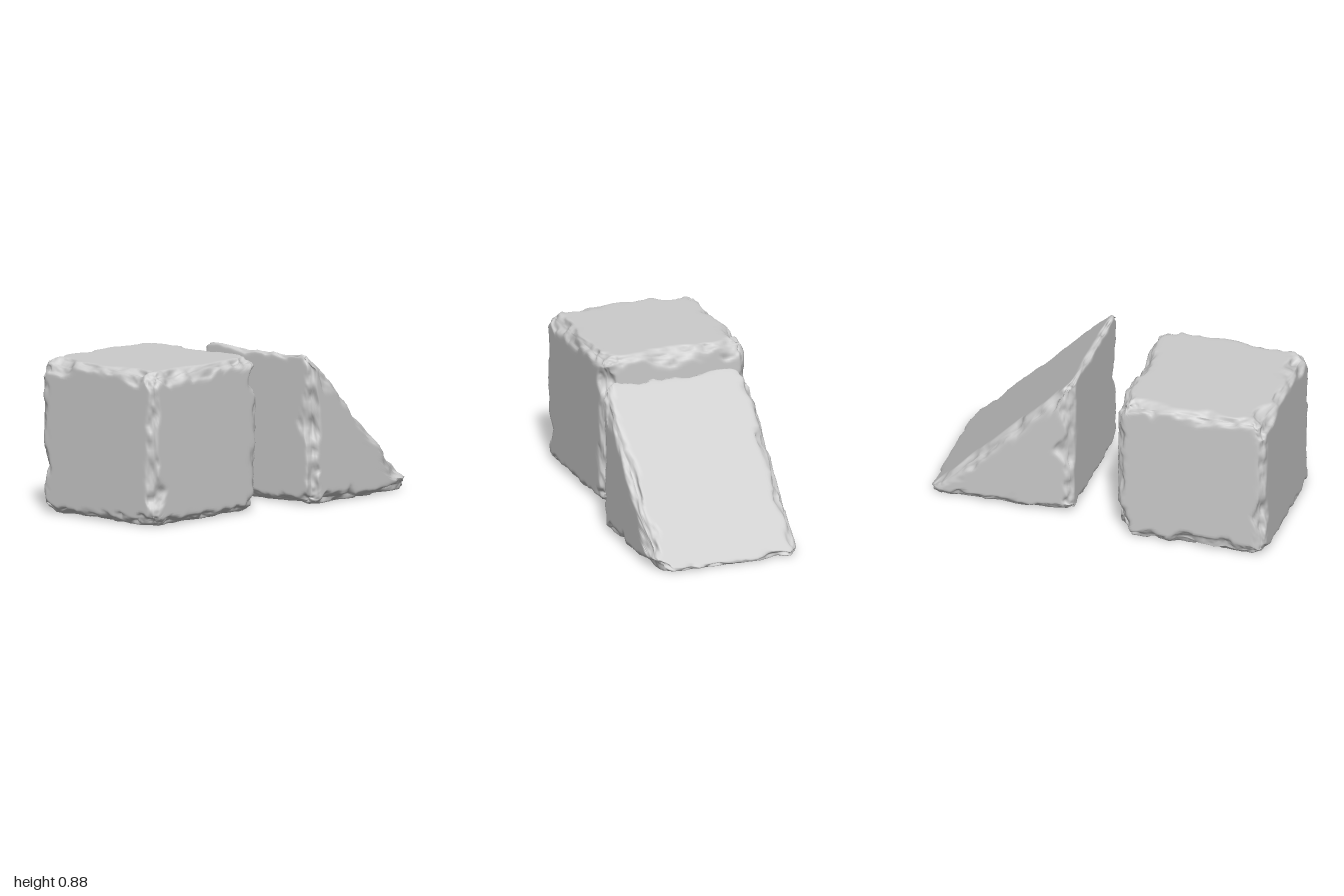
import * as THREE from 'three';

// Seeded value noise in 0..1
function hash(x, y, z) {
  let h = Math.imul(x, 374761393) ^ Math.imul(y, 668265263) ^ Math.imul(z, 1274126177);
  h = Math.imul(h ^ (h >>> 13), 1103515245);
  return ((h ^ (h >>> 16)) >>> 0) / 4294967296;
}
function noise(p, freq, seed) {
  const q = [p.x * freq + seed * 17.3, p.y * freq + seed * 5.1, p.z * freq + seed * 9.7];
  const i = q.map(Math.floor);
  const f = q.map((v, k) => { const t = v - i[k]; return t * t * (3 - 2 * t); });
  let sum = 0;
  for (let c = 0; c < 8; c++) {
    const o = [c & 1, (c >> 1) & 1, c >> 2];
    const w = o.reduce((a, b, k) => a * (b ? f[k] : 1 - f[k]), 1);
    sum += w * hash(i[0] + o[0], i[1] + o[1], i[2] + o[2]);
  }
  return sum;
}

// Cutting planes that bevel every edge and corner of a prism
function makeCuts(profile, zMin, zMax) {
  const sides = profile.map((a, i) => {
    const b = profile[(i + 1) % profile.length];
    const n = new THREE.Vector3(b.y - a.y, a.x - b.x, 0).normalize();
    return { n, d: n.x * a.x + n.y * a.y };
  });
  const caps = [
    { n: new THREE.Vector3(0, 0, 1), d: zMax },
    { n: new THREE.Vector3(0, 0, -1), d: -zMin },
  ];
  const cuts = [];
  const add = (...planes) => {
    const n = planes.reduce((s, p) => s.add(p.n), new THREE.Vector3());
    const d = planes.reduce((s, p) => s + p.d, 0);
    cuts.push({ n, d, len2: n.lengthSq(), corner: planes.length === 3,
      scale: Math.sqrt(n.lengthSq() / planes.length), seed: cuts.length + 1 });
  };
  sides.forEach((s, i) => {
    const next = sides[(i + 1) % sides.length];
    add(s, next);
    caps.forEach((c) => { add(s, c); add(s, next, c); });
  });
  return cuts;
}

// Push a surface point behind the ragged cutting planes
function chip(p, cuts, seed) {
  const soft = 0.012;
  const start = p.clone();
  for (const cut of cuts) {
    if (cut.d - cut.n.dot(p) > 0.45) continue;
    const s = seed + cut.seed;
    const broad = Math.max(0, noise(start, 7, s) - 0.5);
    const fine = noise(start, 19, s + 3);
    const tiny = noise(start, 45, s + 7);
    let depth = 0.022 + 0.13 * broad + 0.045 * fine * fine + 0.014 * tiny;
    if (cut.corner) depth = 0.07 + 0.16 * broad + 0.06 * fine + 0.02 * tiny;
    const e = cut.n.dot(p) - cut.d + depth * cut.scale;
    if (e <= -soft) continue;
    const push = e < soft ? (e + soft) ** 2 / (4 * soft) : e;
    p.addScaledVector(cut.n, -push / cut.len2);
  }
}

// Closed prism skin: front cap rings, side rows, back cap rings
function chippedPrism(name, points, centre, zMin, zMax, seed) {
  const profile = points.map(([x, y]) => new THREE.Vector2(x, y));
  const cuts = makeCuts(profile, zMin, zMax);
  const ease = (t) => t - 0.11 * Math.sin(2 * Math.PI * t); // denser near edges
  const perSide = 56, depthSteps = 56, rings = 26;

  const loop = [];
  profile.forEach((a, i) => {
    const b = profile[(i + 1) % profile.length];
    for (let k = 0; k < perSide; k++) loop.push(a.clone().lerp(b, ease(k / perSide)));
  });
  const rows = [];
  const ringScale = (k) => 1 - (1 - k / rings) ** 1.7;
  for (let k = 0; k < rings; k++) rows.push([ringScale(k), zMax]);
  for (let k = 0; k <= depthSteps; k++) {
    rows.push([1, THREE.MathUtils.lerp(zMax, zMin, ease(k / depthSteps))]);
  }
  for (let k = rings - 1; k >= 0; k--) rows.push([ringScale(k), zMin]);

  const pos = [], index = [], n = loop.length;
  const mid = new THREE.Vector2(...centre);
  rows.forEach(([s, z], i) => {
    loop.forEach((q, j) => {
      const p = new THREE.Vector3(mid.x + (q.x - mid.x) * s, mid.y + (q.y - mid.y) * s, z);
      chip(p, cuts, seed);
      pos.push(p.x, p.y, p.z);
      if (i === rows.length - 1) return;
      const a = i * n + j, d = i * n + (j + 1) % n;
      index.push(a, a + n, d, a + n, d + n, d);
    });
  });
  const geometry = new THREE.BufferGeometry();
  geometry.setAttribute('position', new THREE.Float32BufferAttribute(pos, 3));
  geometry.setIndex(index);
  geometry.computeVertexNormals();
  const mesh = new THREE.Mesh(geometry, new THREE.MeshStandardMaterial({ color: 0xcccccc }));
  mesh.name = name;
  return mesh;
}

export function createModel() {
  const group = new THREE.Group();
  group.name = 'chippedStones';
  // Cube-shaped block
  group.add(chippedPrism('cubeStone',
    [[-1, 0], [-0.13, 0], [-0.13, 0.875], [-1, 0.875]], [-0.565, 0.4375], -0.5, 0.37, 11));
  // Wedge-shaped block with a sloping face
  group.add(chippedPrism('wedgeStone',
    [[0.165, 0], [1.035, 0], [0.165, 0.87]], [0.42, 0.255], -0.375, 0.495, 47));
  return group;
}
